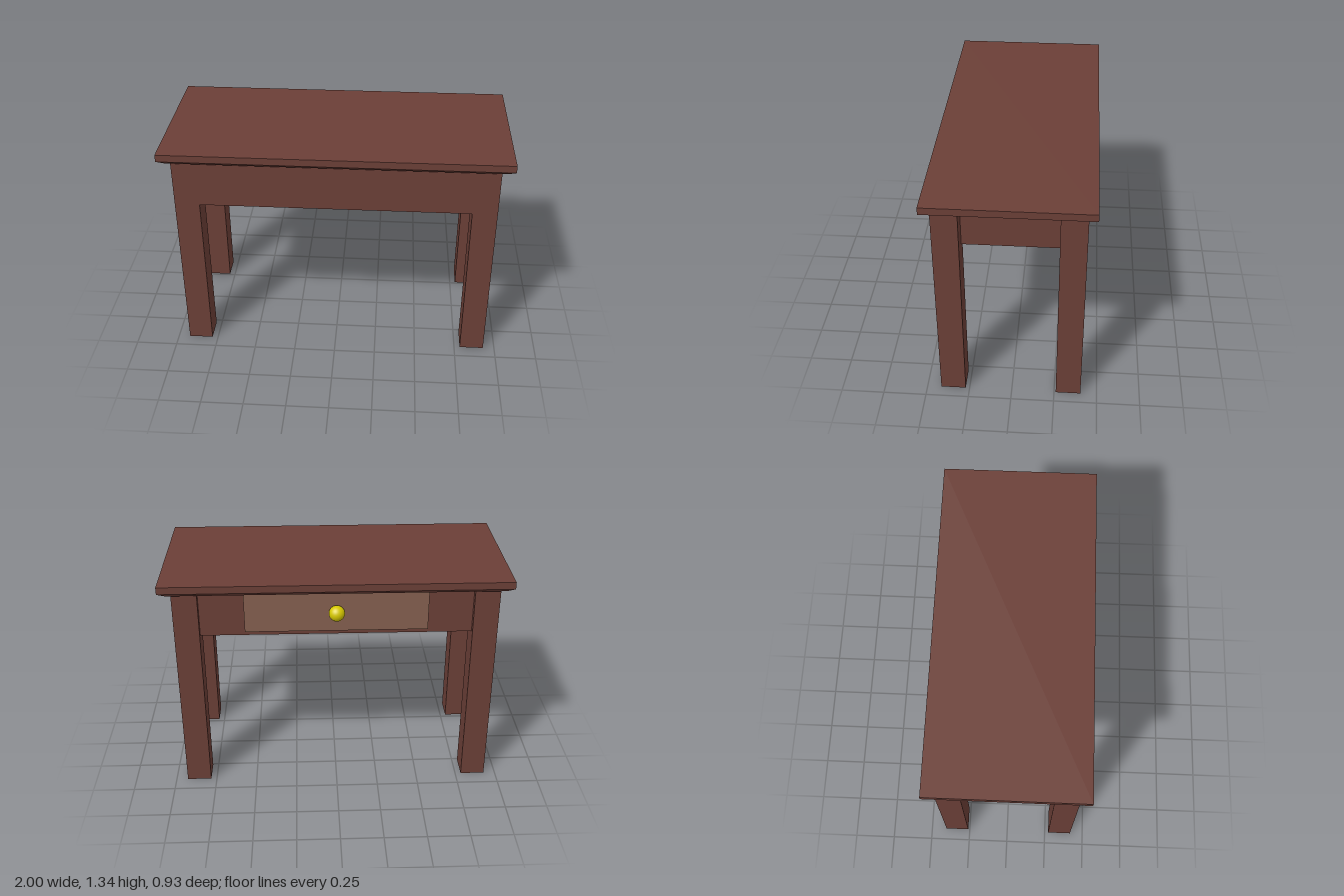
import * as THREE from 'three';

export function createModel() {
  const group = new THREE.Group();
  group.name = 'sideTable';

  const wood = new THREE.MeshStandardMaterial({ color: 0x6b3f37 });
  const drawerWood = new THREE.MeshStandardMaterial({ color: 0x85604f });
  const brass = new THREE.MeshStandardMaterial({ color: 0xd6c800 });

  const add = (name, geometry, material) => {
    const mesh = new THREE.Mesh(geometry, material);
    mesh.name = name;
    group.add(mesh);
    return mesh;
  };

  // Box given by its limits on each axis
  const block = (name, [x0, x1], [y0, y1], [z0, z1], material = wood) => {
    const mesh = add(name, new THREE.BoxGeometry(x1 - x0, y1 - y0, z1 - z0), material);
    mesh.position.set((x0 + x1) / 2, (y0 + y1) / 2, (z0 + z1) / 2);
    return mesh;
  };

  // Tabletop slab
  block('tableTop', [-1, 1], [1.298, 1.34], [-0.452, 0.465]);

  // Bevelled moulding under the slab: a box narrowed at its lower edge
  const moulding = block('topMoulding', [-1, 1], [1.275, 1.298], [-0.452, 0.465]);
  const p = moulding.geometry.attributes.position;
  for (let i = 0; i < p.count; i++) {
    if (p.getY(i) < 0) {
      p.setX(i, p.getX(i) - Math.sign(p.getX(i)) * 0.045);
      p.setZ(i, p.getZ(i) - Math.sign(p.getZ(i)) * 0.026);
    }
  }
  moulding.geometry.computeVertexNormals();

  // Four square legs
  for (const [side, x] of [['Left', [0.785, 0.93]], ['Right', [-0.93, -0.785]]]) {
    block('front' + side + 'Leg', x, [0, 1.275], [0.273, 0.418]);
    block('back' + side + 'Leg', x, [0, 1.275], [-0.405, -0.26]);
  }

  // Closed apron box, just proud of the front legs and set in at the back
  block('apron', [-0.835, 0.835], [0.997, 1.275], [-0.372, 0.421]);

  // Drawer front and its knob on the back side
  block('drawerFront', [-0.527, 0.527], [1.025, 1.27], [-0.39, -0.36], drawerWood);
  add('drawerKnob', new THREE.SphereGeometry(0.046, 32, 20), brass).position.set(0, 1.148, -0.417);

  return group;
}
